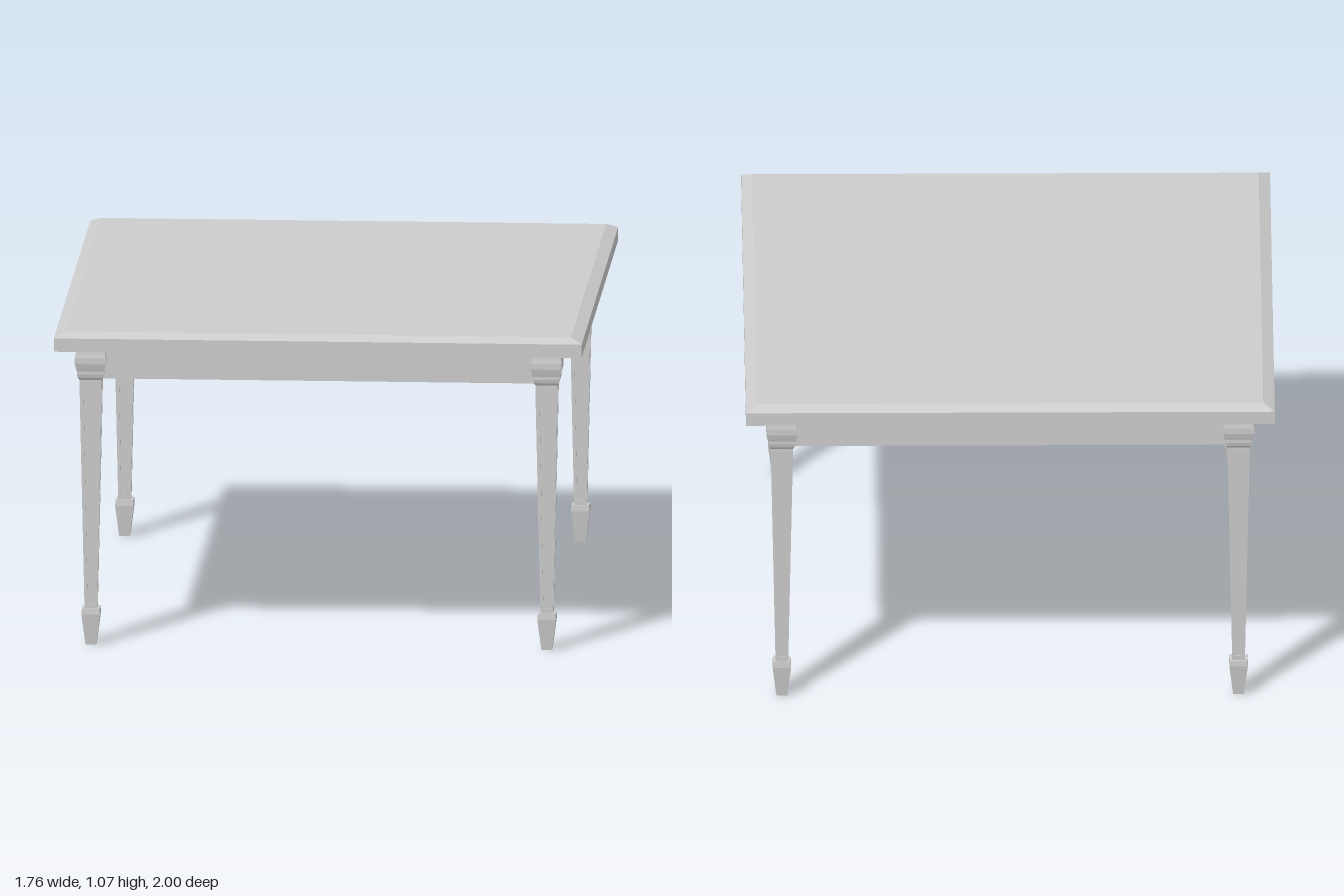
import * as THREE from 'three';

const material = new THREE.MeshStandardMaterial({ color: 0xcccccc, flatShading: true });

// Skin a stack of equal-length rings (bottom to top, counter-clockwise from above) and cap both ends
function loft(rings) {
  const pos = [];
  const n = rings[0].length;
  const tri = (...points) => points.forEach(p => pos.push(...p));
  for (let k = 0; k + 1 < rings.length; k++) {
    const lo = rings[k], hi = rings[k + 1];
    for (let i = 0; i < n; i++) {
      const j = (i + 1) % n;
      tri(lo[i], lo[j], hi[j]);
      tri(lo[i], hi[j], hi[i]);
    }
  }
  const bottom = rings[0], top = rings[rings.length - 1];
  const bottomCentre = [0, bottom[0][1], 0], topCentre = [0, top[0][1], 0];
  for (let i = 0; i < n; i++) {
    const j = (i + 1) % n;
    tri(bottomCentre, bottom[j], bottom[i]);
    tri(topCentre, top[i], top[j]);
  }
  const geometry = new THREE.BufferGeometry();
  geometry.setAttribute('position', new THREE.Float32BufferAttribute(pos, 3));
  geometry.computeVertexNormals();
  return geometry;
}

// Rectangular ring with half sizes hx, hz
const rect = (y, hx, hz = hx) => [[hx, y, hz], [hx, y, -hz], [-hx, y, -hz], [-hx, y, hz]];

// Square ring whose four sides carry a recess of half width p and the given depth
function panelRing(y, h, p, depth) {
  const side = [[h, h], [h, p], [h - depth, p], [h - depth, -p], [h, -p]];
  const ring = [];
  for (let q = 0; q < 4; q++) {
    for (let [x, z] of side) {
      for (let r = 0; r < q; r++) [x, z] = [z, -x];
      ring.push([x, y, z]);
    }
  }
  return ring;
}

function part(name, geometry) {
  const mesh = new THREE.Mesh(geometry, material);
  mesh.name = name;
  return mesh;
}

// Leg geometries, shared by the four corners
const legFoot = loft([rect(0, 0.018), rect(0.105, 0.031), rect(0.125, 0.029)]);
const legShaft = loft([
  panelRing(0.12, 0.021, 0.011, 0),
  panelRing(0.14, 0.0215, 0.011, 0),
  panelRing(0.14, 0.0215, 0.011, 0.005),
  panelRing(0.89, 0.037, 0.024, 0.005),
  panelRing(0.89, 0.037, 0.024, 0),
  panelRing(0.91, 0.037, 0.024, 0),
]);
const headProfile = [
  [0.902, 0.037], [0.91, 0.042], [0.922, 0.045], [0.932, 0.045], [0.942, 0.048],
  [0.958, 0.052], [0.978, 0.052], [0.992, 0.049], [1.006, 0.047],
];
const legHead = loft(headProfile.map(([y, h]) => rect(y, h)));

function createLeg(x, z) {
  const leg = new THREE.Group();
  leg.name = 'leg';
  leg.add(part('legFoot', legFoot), part('legShaft', legShaft), part('legHead', legHead));
  leg.position.set(x, 0, z);
  return leg;
}

export function createModel() {
  const table = new THREE.Group();
  table.name = 'table';

  // Top board with a bevelled upper edge
  table.add(part('tableTop', loft([
    rect(1.005, 0.88, 1), rect(1.05, 0.88, 1), rect(1.067, 0.842, 0.962),
  ])));

  // Apron rails and legs, mirrored
  const legX = 0.76, legZ = 0.92, railHeight = 0.102, railDepth = 0.025;
  for (const s of [-1, 1]) {
    const endRail = part('endApron', new THREE.BoxGeometry(legX * 2, railHeight, railDepth));
    endRail.position.set(0, 0.955, s * 0.925);
    const sideRail = part('sideApron', new THREE.BoxGeometry(railDepth, railHeight, legZ * 2));
    sideRail.position.set(s * 0.775, 0.955, 0);
    table.add(endRail, sideRail);
    for (const t of [-1, 1]) table.add(createLeg(s * legX, t * legZ));
  }
  return table;
}
